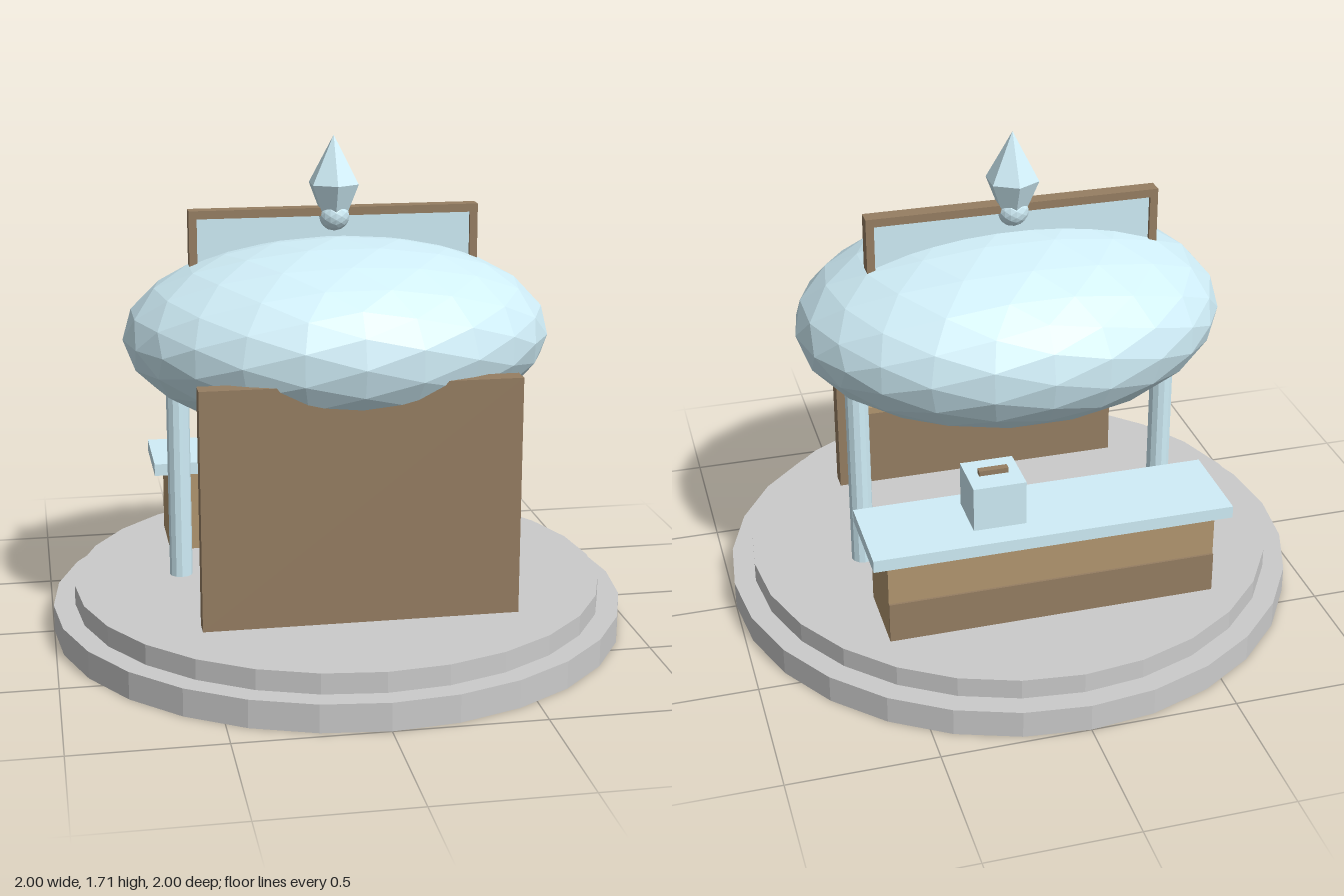
import * as THREE from 'three';

const material = (color) => new THREE.MeshStandardMaterial({ color, flatShading: true });

export function createModel() {
  const model = new THREE.Group();
  const grey = material(0xcccccc);
  const blue = material(0xd0eef8);
  const brown = material(0x967e62);
  const tan = material(0xb39770);

  const add = (name, geometry, mat, x = 0, y = 0, z = 0, parent = model) => {
    const mesh = new THREE.Mesh(geometry, mat);
    mesh.name = name;
    mesh.position.set(x, y, z);
    parent.add(mesh);
    return mesh;
  };
  // Box given by its lower and upper limits on each axis
  const box = (name, mat, [x0, x1], [y0, y1], [z0, z1], parent) =>
    add(name, new THREE.BoxGeometry(x1 - x0, y1 - y0, z1 - z0), mat,
      (x0 + x1) / 2, (y0 + y1) / 2, (z0 + z1) / 2, parent);
  const group = (name) => {
    const g = new THREE.Group();
    g.name = name;
    model.add(g);
    return g;
  };

  // Two-step round platform
  add('lowerStep', new THREE.CylinderGeometry(1, 1, 0.095, 28), grey, 0, 0.0475, 0);
  add('upperStep', new THREE.CylinderGeometry(0.925, 0.925, 0.07, 28), grey, 0, 0.13, 0);

  // Faceted ellipsoid canopy on two posts
  const canopy = new THREE.IcosahedronGeometry(1, 3).scale(0.735, 0.33, 0.57);
  add('canopy', canopy, blue, 0, 1.035, 0);
  for (const side of [-1, 1]) {
    add(side > 0 ? 'leftPost' : 'rightPost',
      new THREE.CylinderGeometry(0.04, 0.04, 0.8, 12), blue, side * 0.548, 0.565, -0.057);
  }

  // Front wall with shelves on its inner face
  const wall = group('frontWall');
  box('wallPanel', brown, [-0.53, 0.53], [0.165, 0.975], [0.44, 0.507], wall);
  for (const y of [0.49, 0.712]) {
    box('shelf', tan, [-0.49, 0.49], [y, y + 0.025], [0.378, 0.44], wall);
  }

  // Counter with a raised kick panel on the customer side
  const counter = group('counter');
  box('counterBody', tan, [-0.565, 0.565], [0.165, 0.46], [-0.573, -0.31], counter);
  box('kickPanel', brown, [-0.565, 0.565], [0.165, 0.308], [-0.581, -0.573], counter);
  box('counterTop', blue, [-0.617, 0.617], [0.46, 0.503], [-0.604, -0.28], counter);

  // Small box with a slot on the counter
  const till = group('counterBox');
  box('boxBody', blue, [0.08, 0.26], [0.503, 0.66], [-0.515, -0.337], till);
  box('boxSlot', brown, [0.12, 0.22], [0.66, 0.678], [-0.437, -0.413], till);

  // Framed sign board rising out of the canopy
  const sign = group('signBoard');
  box('signPanel', blue, [-0.475, 0.475], [1.1, 1.435], [-0.072, -0.042], sign);
  box('signTopFrame', brown, [-0.5, 0.5], [1.433, 1.461], [-0.085, -0.03], sign);
  for (const side of [-1, 1]) {
    add('signSideFrame', new THREE.BoxGeometry(0.027, 0.333, 0.055), brown,
      side * 0.4865, 1.2665, -0.0575, sign);
  }

  // Finial: ball and six-sided crystal
  const finial = group('finial');
  add('finialBall', new THREE.IcosahedronGeometry(0.056, 2), blue, 0, 1.433, -0.057, finial);
  add('crystalTop', new THREE.ConeGeometry(0.091, 0.165, 6), blue, 0, 1.6225, -0.057, finial);
  add('crystalBase', new THREE.CylinderGeometry(0.091, 0.05, 0.1, 6), blue, 0, 1.49, -0.057, finial);

  return model;
}
